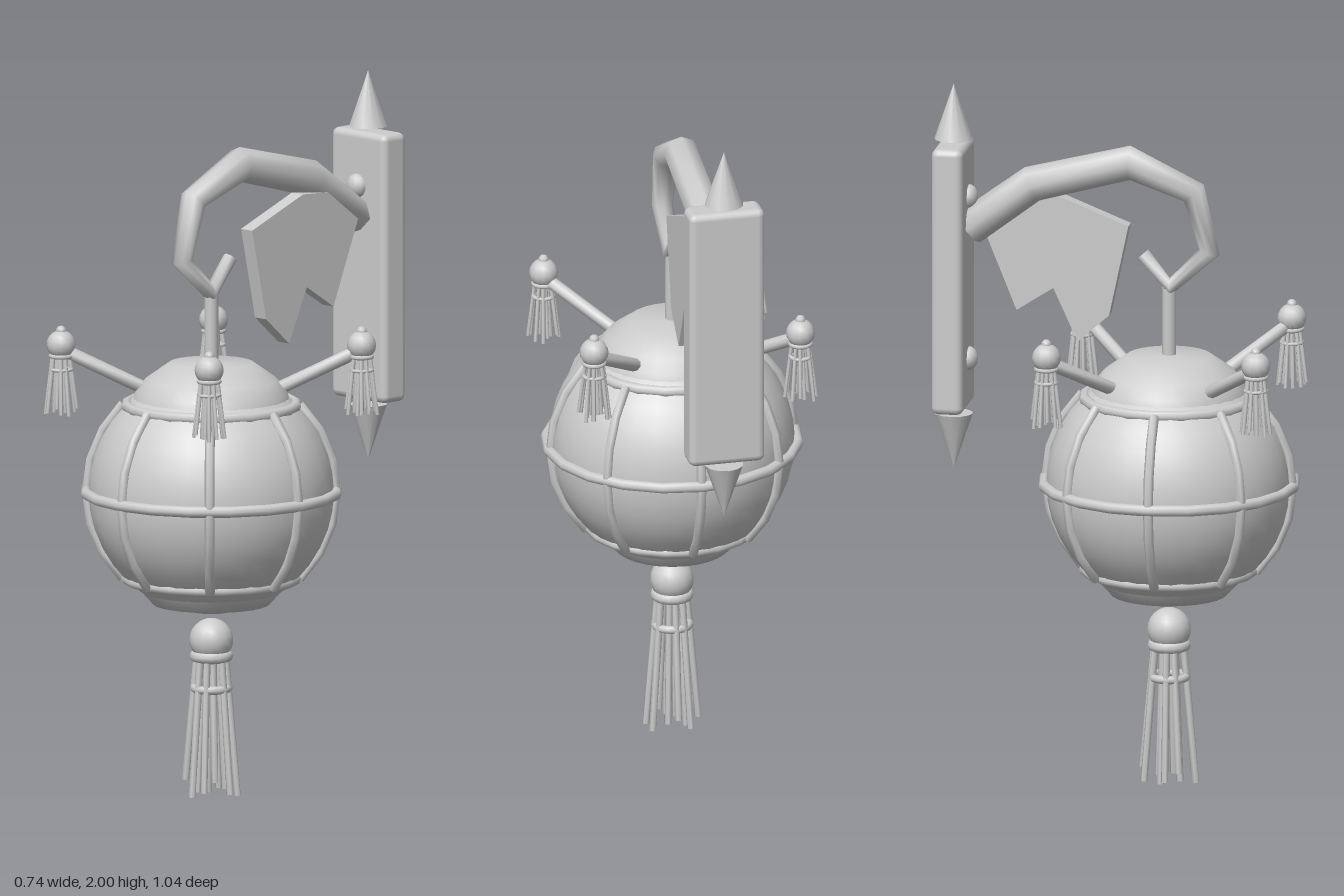
import * as THREE from 'three';
import { RoundedBoxGeometry } from 'three/addons/geometries/RoundedBoxGeometry.js';

const LANTERN_Z = 0.147;

export function createModel() {
  const root = new THREE.Group();
  const grey = new THREE.MeshStandardMaterial({ color: 0xcccccc });
  grey.name = 'pale grey';

  function add(parent, name, geometry, x = 0, y = 0, z = 0) {
    const mesh = new THREE.Mesh(geometry, grey);
    mesh.name = name;
    mesh.position.set(x, y, z);
    parent.add(mesh);
    return mesh;
  }

  function group(parent, name, x = 0, y = 0, z = 0) {
    const g = new THREE.Group();
    g.name = name;
    g.position.set(x, y, z);
    parent.add(g);
    return g;
  }

  // Closed tapering rod; path points are [z, y, radius] in the plane x = 0
  function rod(path, sides = 8) {
    const pos = [], index = [], last = path.length - 1;
    path.forEach(([z, y, r], i) => {
      const p = path[Math.max(i - 1, 0)], q = path[Math.min(i + 1, last)];
      const t = new THREE.Vector2(q[0] - p[0], q[1] - p[1]).normalize();
      for (let j = 0; j < sides; j++) {
        const a = (j / sides) * Math.PI * 2;
        pos.push(r * Math.cos(a), y + t.x * r * Math.sin(a), z - t.y * r * Math.sin(a));
      }
    });
    for (let i = 0; i < last; i++) {
      for (let j = 0; j < sides; j++) {
        const a = i * sides + j, b = i * sides + (j + 1) % sides;
        index.push(a, b, a + sides, b, b + sides, a + sides);
      }
    }
    for (let j = 1; j < sides - 1; j++) {
      const e = last * sides;
      index.push(0, j + 1, j, e, e + j, e + j + 1);
    }
    const g = new THREE.BufferGeometry();
    g.setAttribute('position', new THREE.Float32BufferAttribute(pos, 3));
    g.setIndex(index);
    g.computeVertexNormals();
    return g;
  }

  const hoop = (radius, tube, segments = 20) =>
    new THREE.TorusGeometry(radius, tube, 8, segments).rotateX(Math.PI / 2);

  // Tassel with its lowest threads at y = 0
  function tassel(parent, name, x, y, z) {
    const g = group(parent, name, x, y, z);
    add(g, 'tasselHead', new THREE.SphereGeometry(0.062, 16, 12), 0, 0.443);
    add(g, 'tasselCollar', hoop(0.045, 0.017, 16), 0, 0.397);
    add(g, 'tasselBand', hoop(0.049, 0.012, 16), 0, 0.305);
    for (let i = 0; i < 12; i++) {
      const inner = i % 3 === 2;
      const low = [0, 0.015, 0.04, 0.008][i % 4];
      const thread = add(g, 'tasselThread',
        rod([[inner ? 0.022 : 0.042, 0.4, 0.01], [inner ? 0.04 : 0.076, low, 0.01]], 6));
      thread.rotation.y = (i / 12) * Math.PI * 2;
    }
    return g;
  }

  // Wall plate, spikes and rivets
  const mount = group(root, 'wallMount');
  add(mount, 'wallPlate', new RoundedBoxGeometry(0.22, 0.77, 0.09, 2, 0.02), 0, 1.445, -0.472);
  add(mount, 'topSpike', new THREE.ConeGeometry(0.055, 0.16, 12), 0, 1.92, -0.47);
  add(mount, 'bottomSpike', new THREE.ConeGeometry(0.055, 0.16, 12).rotateX(Math.PI), 0, 0.965, -0.47);
  for (const y of [1.675, 1.205]) {
    add(mount, 'rivet', new THREE.SphereGeometry(0.034, 12, 8).scale(1, 1, 0.8), 0, y, -0.427);
  }

  // Curved arm ending in a hook
  add(root, 'hookArm', rod([
    [-0.425, 1.585, 0.053], [-0.245, 1.718, 0.052], [0.035, 1.79, 0.05], [0.218, 1.71, 0.038],
    [0.262, 1.54, 0.03], [0.15, 1.435, 0.025], [0.072, 1.528, 0.02],
  ]));

  // Notched fin under the arm
  const fin = new THREE.Shape([
    [0.03, 1.605], [-0.17, 1.685], [-0.27, 1.68], [-0.395, 1.61], [-0.29, 1.35],
    [-0.185, 1.418], [-0.115, 1.265], [-0.025, 1.345],
  ].map(([z, y]) => new THREE.Vector2(-z, y)));
  add(root, 'armFin', new THREE.ExtrudeGeometry(fin, { depth: 0.045, bevelEnabled: false })
    .rotateY(Math.PI / 2));

  // Lantern body
  const lantern = group(root, 'lantern', 0, 0, LANTERN_Z);
  add(lantern, 'hangingStem', new THREE.CylinderGeometry(0.02, 0.02, 0.22, 10), 0, 1.325);
  add(lantern, 'globe', new THREE.SphereGeometry(0.347, 32, 20), 0, 0.868);
  const lathe = (pts) => new THREE.LatheGeometry(pts.map(([r, y]) => new THREE.Vector2(r, y)), 28);
  add(lantern, 'topCap', lathe([[0.225, 1.11], [0.215, 1.155], [0.185, 1.19], [0.12, 1.236], [0, 1.241]]));
  add(lantern, 'bottomCap', lathe([[0, 0.544], [0.165, 0.547], [0.195, 0.58], [0.22, 0.625]]));

  // Cage of hoops and ribs
  add(lantern, 'topHoop', hoop(0.24, 0.016), 0, 1.115);
  add(lantern, 'middleHoop', hoop(0.356, 0.016), 0, 0.868);
  add(lantern, 'bottomHoop', hoop(0.24, 0.016), 0, 0.622);
  const ribPath = [];
  for (let i = -3; i <= 3; i++) {
    const a = i * 0.262;
    ribPath.push([0.353 * Math.cos(a), 0.868 + 0.353 * Math.sin(a), 0.014]);
  }
  const rib = rod(ribPath, 6);
  for (let i = 0; i < 8; i++) add(lantern, 'cageRib', rib).rotation.y = i * Math.PI / 4;

  // Four corner arms with small tassels
  for (let i = 0; i < 4; i++) {
    const corner = group(lantern, 'cornerArm');
    corner.rotation.y = Math.PI / 4 + i * Math.PI / 2;
    add(corner, 'armRod', rod([[0.195, 1.165, 0.019], [0.425, 1.275, 0.019]]));
    add(corner, 'tasselBall', new THREE.SphereGeometry(0.041, 12, 10), 0, 1.287, 0.424);
    add(corner, 'ballKnob', new THREE.SphereGeometry(0.015, 8, 6), 0, 1.326, 0.424);
    tassel(corner, 'smallTassel', 0, 1.088, 0.424).scale.set(0.58, 0.42, 0.58);
  }

  // Large tassel hanging below
  tassel(lantern, 'largeTassel', 0, 0, 0);

  return root;
}
